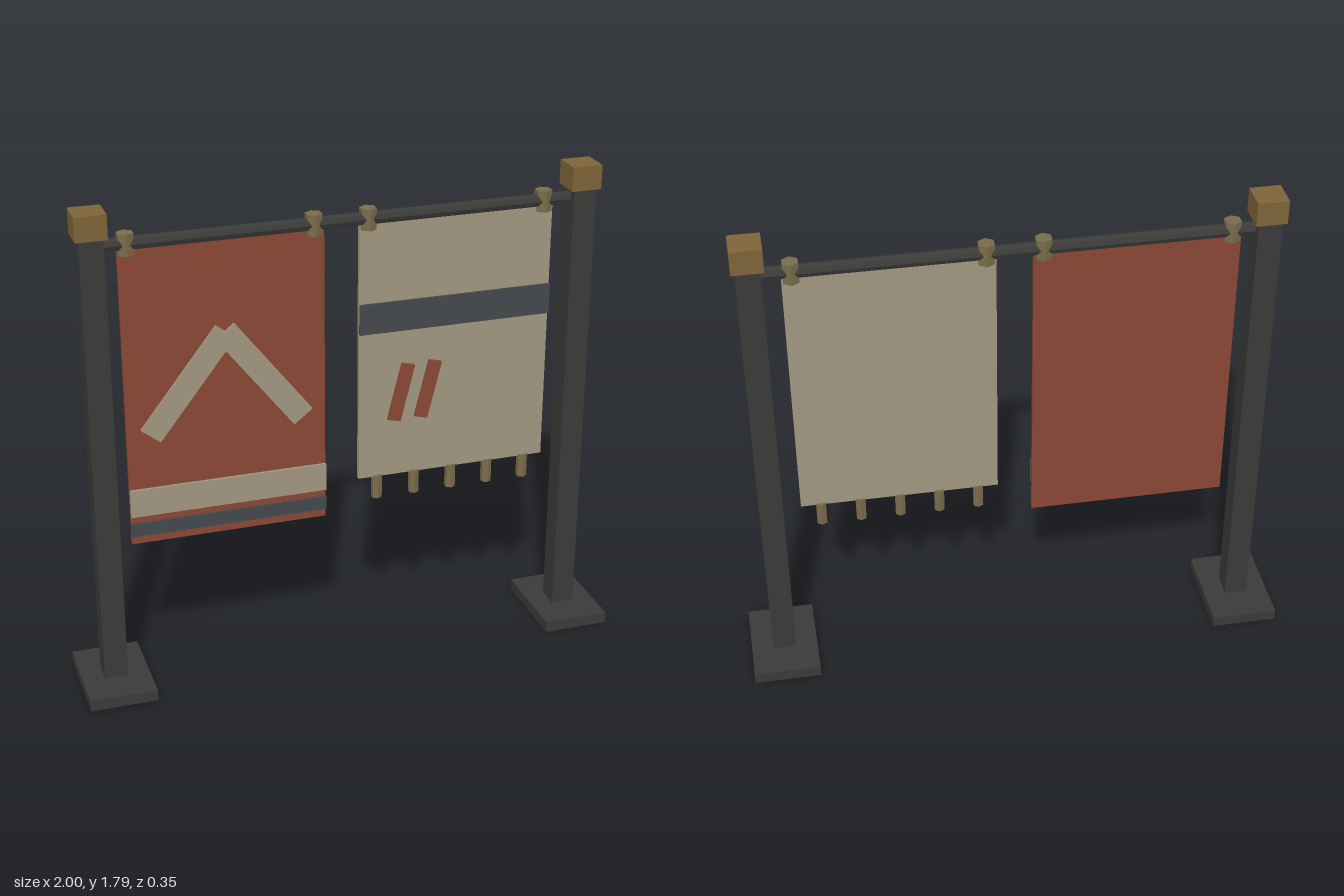
import * as THREE from 'three';

const material = (color) =>
  new THREE.MeshStandardMaterial({ color, flatShading: true });

export function createModel() {
  const group = new THREE.Group();
  const iron = material(0x3a3a38);
  const brass = material(0x7d6438);
  const bronze = material(0x7a6b4b);
  const red = material(0x8a4735);
  const cream = material(0xa0967f);
  const slate = material(0x44484b);

  const add = (name, geometry, mat, x, y, z = 0, tilt = 0) => {
    const mesh = new THREE.Mesh(geometry, mat);
    mesh.name = name;
    mesh.position.set(x, y, z);
    mesh.rotation.z = tilt;
    group.add(mesh);
    return mesh;
  };
  const box = (w, h, d) => new THREE.BoxGeometry(w, h, d);

  // Two posts with foot plates and caps
  for (const side of [-1, 1]) {
    const name = side < 0 ? 'right' : 'left';
    add(name + 'Foot', box(0.245, 0.042, 0.35), iron, side * 0.8775, 0.021);
    add(name + 'Post', box(0.085, 1.67, 0.088), iron, side * 0.8775, 0.872);
    add(name + 'Cap', box(0.11, 0.088, 0.11), brass, side * 0.8775, 1.749);
  }

  // Crossbar and the hexagonal clips on it
  const barY = 1.669;
  add('crossbar', new THREE.CylinderGeometry(0.024, 0.024, 1.7, 8), iron, 0, barY, 0, Math.PI / 2);
  for (const x of [-0.757, -0.107, 0.087, 0.737]) {
    add('clip', new THREE.CylinderGeometry(0.031, 0.031, 0.076, 6), bronze, x, barY);
  }

  // Cloth panels, hung from the bar
  const clothTop = 1.655;
  const clothWidth = 0.716;
  const cloth = (name, mat, x, bottom) =>
    add(name, box(clothWidth, clothTop - bottom, 0.016), mat, x, (clothTop + bottom) / 2);
  const redX = -0.43;
  const creamX = 0.412;
  cloth('redBanner', red, redX, 0.553);
  cloth('creamBanner', cream, creamX, 0.682);

  // Appliqué pieces on the front of the cloth
  const patch = (name, mat, x, y, w, h, tilt = 0) =>
    add(name, box(w, h, 0.01), mat, x, y, 0.015, tilt);
  patch('creamStripe', cream, redX, 0.715, clothWidth, 0.104);
  patch('slateStripe', slate, redX, 0.611, clothWidth, 0.05);
  for (const side of [-1, 1]) {
    patch('chevronArm', cream, redX + side * 0.137, 1.144, 0.086, 0.45, side * 0.66);
  }
  patch('slateBand', slate, creamX, 1.302, clothWidth, 0.112);
  for (const x of [0.211, 0.313]) {
    patch('slash', red, x, 1.008, 0.05, 0.22, -0.24);
  }

  // Tassels under the cream banner
  for (let i = -2; i <= 2; i++) {
    add('tassel', new THREE.CylinderGeometry(0.02, 0.02, 0.09, 6), bronze, creamX + i * 0.143, 0.642);
  }

  return group;
}
